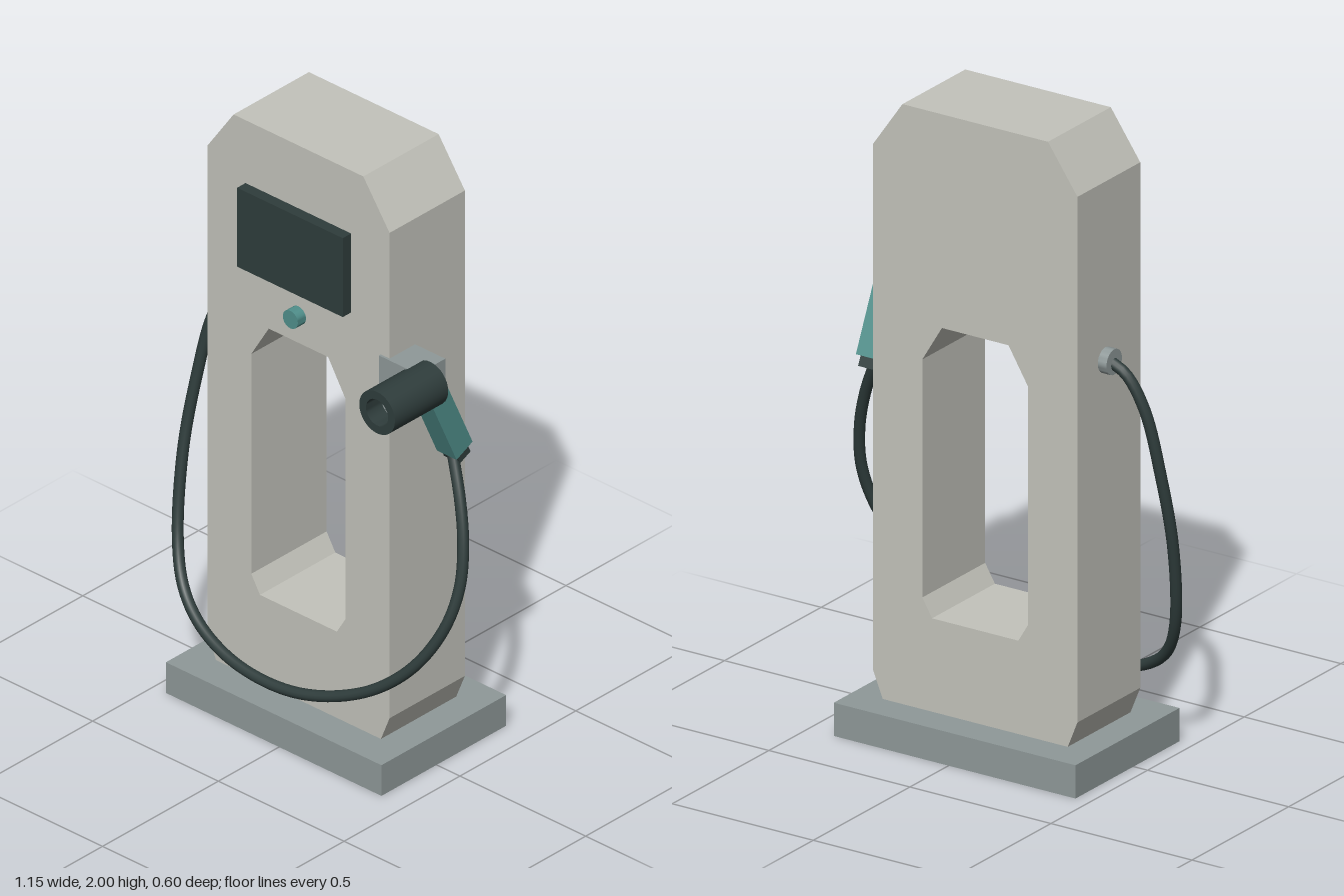
import * as THREE from 'three';
import { toCreasedNormals } from 'three/addons/utils/BufferGeometryUtils.js';

const material = (name, color) => {
  const m = new THREE.MeshStandardMaterial({ color });
  m.name = name;
  return m;
};

export function createModel() {
  const group = new THREE.Group();
  const shell = material('warm light grey', 0xc3c3bb);
  const grey = material('mid grey', 0x8f9999);
  const dark = material('charcoal green', 0x2f3d3c);
  const teal = material('teal', 0x508f8b);

  const add = (name, geometry, mat, x = 0, y = 0, z = 0, parent = group) => {
    const mesh = new THREE.Mesh(geometry, mat);
    mesh.name = name;
    mesh.position.set(x, y, z);
    parent.add(mesh);
    return mesh;
  };
  // Box given by its limits on each axis
  const box = (name, mat, [x0, x1], [y0, y1], [z0, z1]) =>
    add(name, new THREE.BoxGeometry(x1 - x0, y1 - y0, z1 - z0), mat,
      (x0 + x1) / 2, (y0 + y1) / 2, (z0 + z1) / 2);
  const cylinder = (r, length, sides = 24) =>
    toCreasedNormals(new THREE.CylinderGeometry(r, r, length, sides), 0.6);

  // Symmetric eight-sided outline with separate top and bottom chamfers
  const cx = -0.0225;
  const octagon = (w, bottomW, topW, y0, y1, y2, y3) => [
    [bottomW, y0], [w, y1], [w, y2], [topW, y3],
    [-topW, y3], [-w, y2], [-w, y1], [-bottomW, y0],
  ].map(([x, y]) => new THREE.Vector2(cx + x, y));

  // Plinth and cabinet with a through opening
  box('base', grey, [-0.45, 0.407], [0, 0.105], [-0.3, 0.238]);
  const outline = new THREE.Shape(octagon(0.3625, 0.328, 0.258, 0.105, 0.19, 1.85, 2));
  outline.holes.push(new THREE.Path(octagon(0.1875, 0.153, 0.118, 0.4, 0.458, 1.21, 1.325).reverse()));
  add('cabinet', new THREE.ExtrudeGeometry(outline, { depth: 0.325, bevelEnabled: false }),
    shell, 0, 0, -0.195);

  // Front controls
  box('screen', dark, [-0.233, 0.187], [1.515, 1.785], [0.125, 0.166]);
  add('button', cylinder(0.03, 0.04), teal, cx, 1.42, 0.145).rotation.x = Math.PI / 2;

  // Hose outlet and connector holder
  add('hoseOutlet', cylinder(0.04, 0.04), grey, -0.396, 1.287, -0.05).rotation.z = Math.PI / 2;
  box('holder', grey, [0.305, 0.46], [1.29, 1.42], [0.02, 0.138]);

  // Charging connector: hollow barrel, pin face and pins
  const connector = new THREE.Group();
  connector.name = 'connector';
  connector.position.set(0.447, 1.355, 0.07);
  group.add(connector);
  const barrel = new THREE.LatheGeometry(
    [[0, 0], [0.071, 0], [0.071, 0.23], [0.044, 0.23], [0.044, 0.16], [0, 0.16]]
      .map(([r, y]) => new THREE.Vector2(r, y)), 32);
  add('barrel', toCreasedNormals(barrel, 0.6), dark, 0, 0, 0, connector).rotation.x = Math.PI / 2;
  add('pinFace', cylinder(0.038, 0.01), grey, 0, 0, 0.164, connector).rotation.x = Math.PI / 2;
  for (let i = 0; i < 5; i++) {
    const a = Math.PI / 2 + i * Math.PI * 0.4;
    add('pin', cylinder(0.005, 0.012, 10), dark,
      0.021 * Math.cos(a), 0.021 * Math.sin(a), 0.17, connector).rotation.x = Math.PI / 2;
  }

  // Slanted handle and its cable collar
  const handle = new THREE.Group();
  handle.name = 'handle';
  handle.position.set(0.449, 1.093, -0.033);
  handle.rotation.x = 0.43;
  group.add(handle);
  add('grip', new THREE.BoxGeometry(0.078, 0.27, 0.076), teal, 0, 0.135, 0, handle);
  add('collar', new THREE.BoxGeometry(0.064, 0.04, 0.05), dark, 0, -0.012, 0.003, handle);

  // Hanging hose from the outlet round the front to the handle
  const path = new THREE.CatmullRomCurve3([
    [-0.4, 1.287, -0.05], [-0.455, 1.255, -0.045], [-0.51, 1.15, -0.03],
    [-0.547, 0.94, 0], [-0.56, 0.7, 0.045], [-0.53, 0.44, 0.1],
    [-0.47, 0.32, 0.143], [-0.38, 0.25, 0.178], [-0.25, 0.203, 0.205],
    [-0.1, 0.186, 0.218], [0.05, 0.197, 0.217], [0.2, 0.24, 0.201],
    [0.34, 0.315, 0.176], [0.46, 0.43, 0.143], [0.535, 0.57, 0.1],
    [0.557, 0.7, 0.062], [0.545, 0.83, 0.035], [0.51, 0.95, 0.01],
    [0.45, 1.08, -0.022],
  ].map((p) => new THREE.Vector3(...p)));
  add('hose', new THREE.TubeGeometry(path, 120, 0.0175, 12), dark);

  return group;
}
